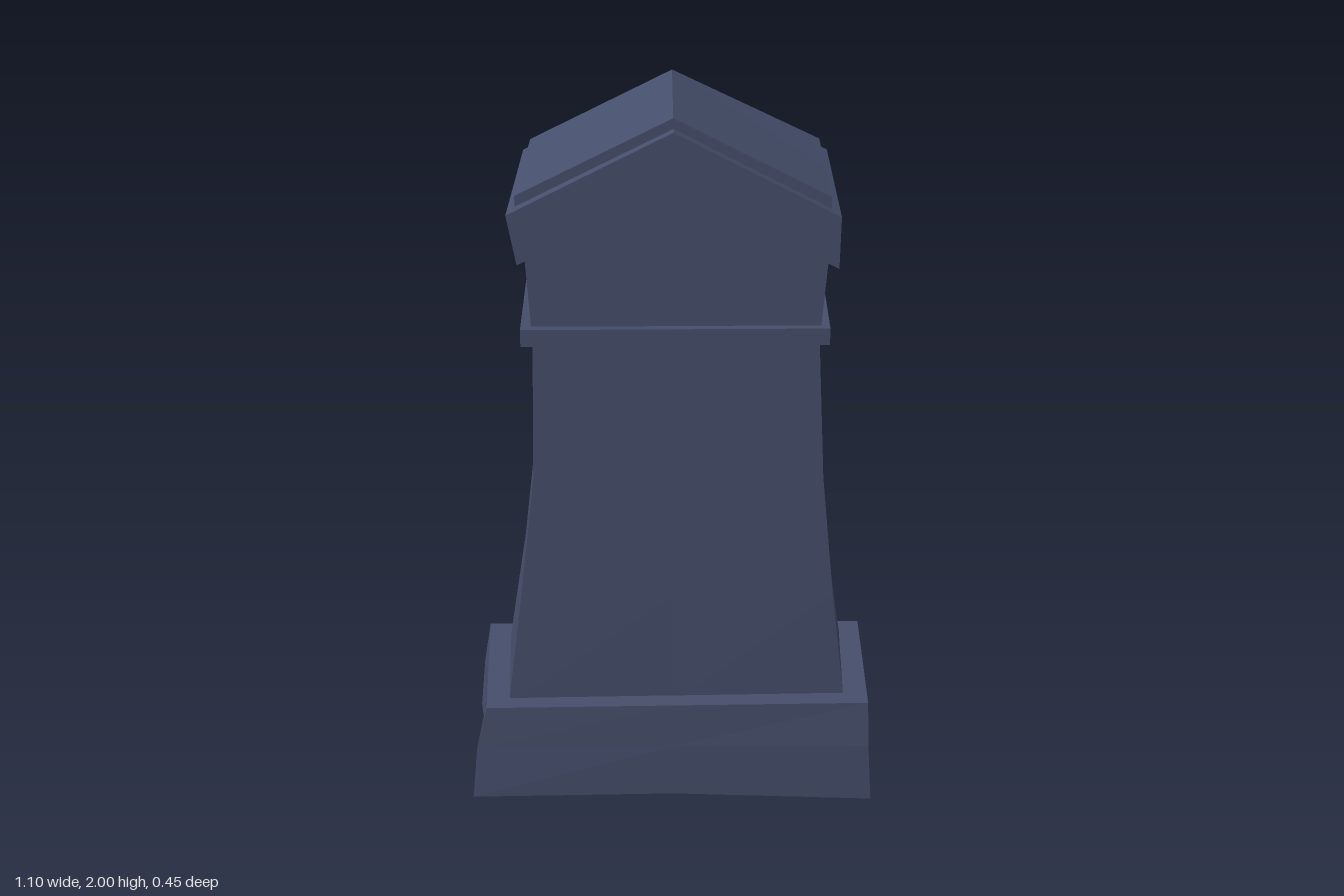
import * as THREE from 'three';

// Eight-point ring from four corners (front left of view, front right, back right, back left).
// ridge: height of the front and back midpoints; pinch: inward shift of the side midpoints.
function ring(corners, { ridge = null, pinch = 0, waist = 0 } = {}) {
  const points = [];
  corners.forEach((c, i) => {
    const next = corners[(i + 1) % 4];
    const mid = c.map((v, k) => (v + next[k]) / 2);
    if (i % 2 === 0) {
      mid[0] = 0;
      mid[2] -= Math.sign(mid[2]) * waist;
      if (ridge !== null) mid[1] = ridge;
    } else mid[0] -= Math.sign(mid[0]) * pinch;
    points.push(c, mid);
  });
  return points;
}

// Nearly rectangular corners at one height
const rect = (y, left, right, front, back) => [
  [left, y, front], [right, y, front], [right, y, back], [left, y, back],
];

// Closed solid through a stack of rings
function loft(rings) {
  const index = [];
  for (let r = 0; r < rings.length - 1; r++) {
    for (let i = 0; i < 8; i++) {
      const a = r * 8 + i, b = r * 8 + (i + 1) % 8;
      index.push(a, b, b + 8, a, b + 8, a + 8);
    }
  }
  // Caps are folded along the ridge line
  const cap = [[7, 0, 1], [7, 1, 5], [7, 5, 6], [1, 2, 3], [1, 3, 5], [3, 4, 5]];
  const last = (rings.length - 1) * 8;
  for (const [a, b, c] of cap) index.push(c, b, a, last + a, last + b, last + c);
  const geometry = new THREE.BufferGeometry();
  geometry.setAttribute('position', new THREE.Float32BufferAttribute(rings.flat(2), 3));
  geometry.setIndex(index);
  const flat = geometry.toNonIndexed();
  flat.computeVertexNormals();
  return flat;
}

export function createModel() {
  const group = new THREE.Group();
  const stone = new THREE.MeshStandardMaterial({ color: 0x454e6b, flatShading: true });
  stone.name = 'slate blue stone';
  const add = (name, rings) => {
    const mesh = new THREE.Mesh(loft(rings), stone);
    mesh.name = name;
    group.add(mesh);
  };

  // Plinth, slightly skewed and pinched at the sides
  add('plinth', [
    ring([[-0.55, 0.02, 0.22], [0.545, 0, 0.212], [0.545, 0.02, -0.222], [-0.55, 0.02, -0.226]],
      { ridge: 0.02, pinch: 0.03, waist: 0.006 }),
    ring(rect(0.18, -0.535, 0.533, 0.216, -0.217), { pinch: 0.015, waist: 0.003 }),
    ring([[-0.505, 0.31, 0.212], [0.528, 0.318, 0.208], [0.528, 0.312, -0.207], [-0.515, 0.308, -0.21]]),
  ]);

  // Flared slab body ending in a gable
  add('body', [
    ring([[-0.447, 0.29, 0.165], [0.466, 0.29, 0.157], [0.475, 0.29, -0.155], [-0.457, 0.29, -0.16]]),
    ring(rect(0.64, -0.404, 0.425, 0.165, -0.155)),
    ring(rect(1.0, -0.363, 0.39, 0.167, -0.152)),
    ring(rect(1.4, -0.355, 0.37, 0.165, -0.155)),
    ring([[-0.37, 1.64, 0.165], [0.388, 1.64, 0.165], [0.38, 1.64, -0.152], [-0.362, 1.64, -0.158]],
      { ridge: 1.85 }),
  ]);

  // Narrow moulding around the neck
  add('neckBand', [
    ring([[-0.385, 1.393, 0.185], [0.395, 1.393, 0.183], [0.392, 1.39, -0.18], [-0.38, 1.38, -0.183]]),
    ring([[-0.385, 1.44, 0.185], [0.395, 1.44, 0.183], [0.392, 1.437, -0.18], [-0.38, 1.43, -0.183]]),
  ]);

  // Pitched cap with a stepped roof slab
  add('roofCap', [
    ring([[-0.388, 1.62, 0.187], [0.412, 1.607, 0.187], [0.398, 1.627, -0.18], [-0.372, 1.625, -0.182]],
      { ridge: 1.828 }),
    ring([[-0.412, 1.755, 0.187], [0.414, 1.747, 0.187], [0.398, 1.772, -0.18], [-0.382, 1.772, -0.186]],
      { ridge: 1.972 }),
    ring([[-0.39, 1.768, 0.163], [0.39, 1.76, 0.163], [0.376, 1.782, -0.157], [-0.362, 1.782, -0.16]],
      { ridge: 1.972 }),
    ring([[-0.39, 1.797, 0.163], [0.39, 1.79, 0.163], [0.376, 1.812, -0.157], [-0.362, 1.812, -0.16]],
      { ridge: 2.0 }),
  ]);

  return group;
}
